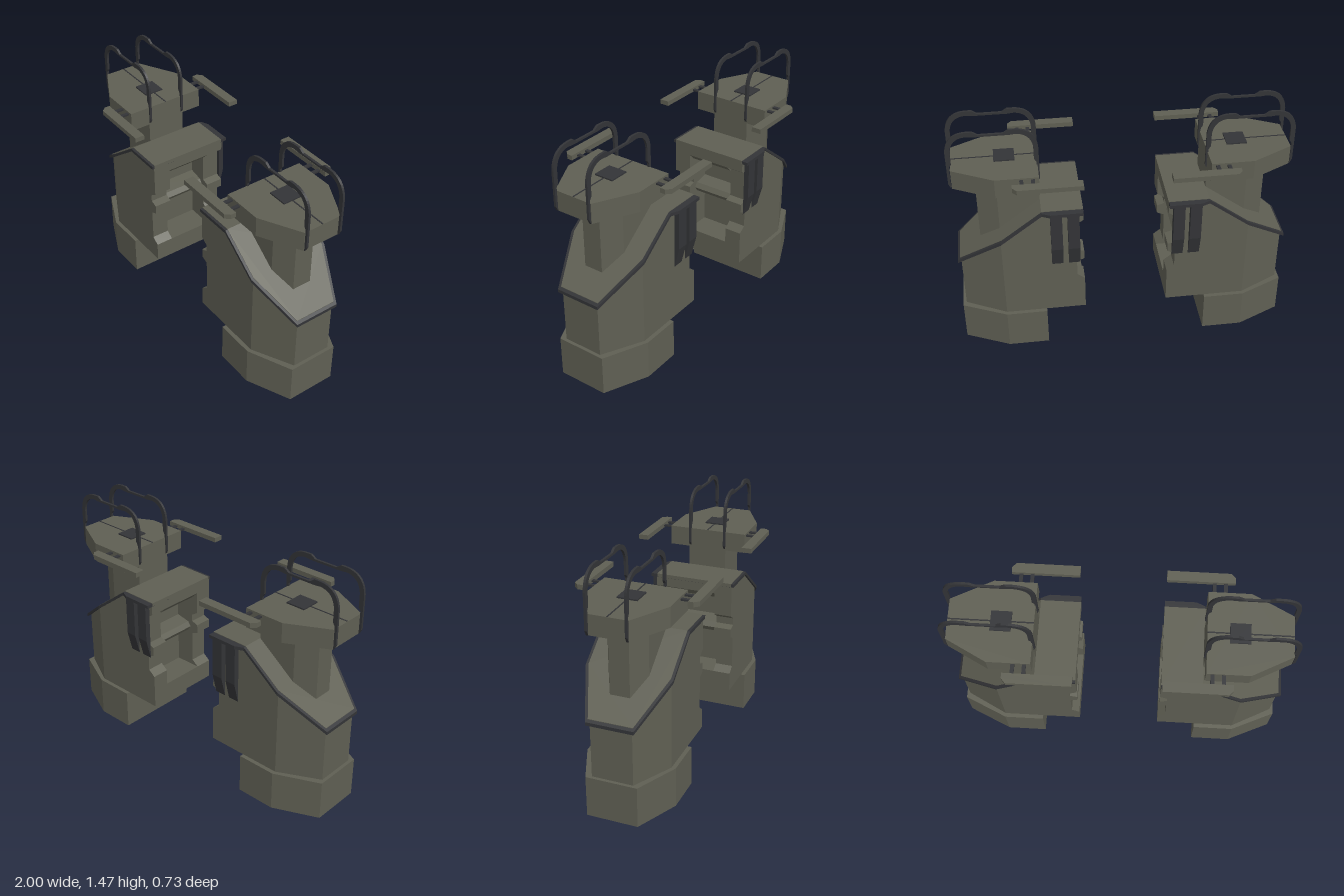
import * as THREE from 'three';

const olive = new THREE.MeshStandardMaterial({ color: 0x5f5f53 });
olive.name = 'olive';
const charcoal = new THREE.MeshStandardMaterial({ color: 0x333437 });
charcoal.name = 'charcoal';

// Height of the shoulder roof: flat on the inside, sloping down outwards
const roofY = (x) => 0.985 - 0.755 * Math.max(0, x - 0.49);

// Upright prism over an (x, z) footprint; bottom and top are heights or functions of x
function prism(points, bottom, top) {
  const shape = new THREE.Shape(points.map(([x, z]) => new THREE.Vector2(x, -z)));
  const geo = new THREE.ExtrudeGeometry(shape, { depth: 1, bevelEnabled: false });
  geo.rotateX(-Math.PI / 2);
  const at = (h, x) => (typeof h === 'function' ? h(x) : h);
  const p = geo.attributes.position;
  for (let i = 0; i < p.count; i++) {
    p.setY(i, at(p.getY(i) < 0.5 ? bottom : top, p.getX(i)));
  }
  geo.computeVertexNormals();
  return geo;
}

// An (x, y) outline extruded from z0 to z1
function slab(points, z0, z1) {
  const shape = points instanceof THREE.Shape ? points
    : new THREE.Shape(points.map(([x, y]) => new THREE.Vector2(x, y)));
  const geo = new THREE.ExtrudeGeometry(shape, { depth: z1 - z0, bevelEnabled: false });
  return geo.translate(0, 0, z0);
}

function box(x0, x1, y0, y1, z0, z1) {
  return new THREE.BoxGeometry(x1 - x0, y1 - y0, z1 - z0)
    .translate((x0 + x1) / 2, (y0 + y1) / 2, (z0 + z1) / 2);
}

// Footprint with a square inner end and a tapered outer end
const footprint = (x0, x1, x2, wide, narrow) => [
  [x0, wide], [x1, wide], [x2, narrow], [x2, -narrow], [x1, -wide], [x0, -wide]];

// Mirror across x = 0, keeping faces turned outwards
function mirrored(source) {
  const geo = source.index ? source.toNonIndexed() : source.clone();
  geo.scale(-1, 1, 1);
  const p = geo.attributes.position;
  const a = new THREE.Vector3(), b = new THREE.Vector3();
  for (let i = 0; i < p.count; i += 3) {
    a.fromBufferAttribute(p, i + 1);
    b.fromBufferAttribute(p, i + 2);
    p.setXYZ(i + 1, b.x, b.y, b.z);
    p.setXYZ(i + 2, a.x, a.y, a.z);
  }
  geo.computeVertexNormals();
  return geo;
}

// Side wall of the inner recess with two chamfered notches
const notchedWall = (low, high) => [
  [0.43, 0.25], [0.25, 0.25], [0.25, low], [0.295, low + 0.035], [0.295, 0.605], [0.25, 0.625],
  [0.25, 0.68], [0.295, 0.695], [0.295, high - 0.03], [0.25, high], [0.25, 0.97], [0.43, 0.97]];

// Rounded arch rail, thin in the middle of its crown
function railShape() {
  const c = 0.74;
  const s = new THREE.Shape();
  s.moveTo(c + 0.245, 1.11);
  s.lineTo(c + 0.26, 1.14);
  s.lineTo(c + 0.26, 1.35);
  s.quadraticCurveTo(c + 0.25, 1.465, c + 0.14, 1.472);
  s.lineTo(c + 0.1, 1.472);
  s.lineTo(c + 0.07, 1.452);
  s.lineTo(c - 0.07, 1.452);
  s.lineTo(c - 0.1, 1.472);
  s.lineTo(c - 0.14, 1.472);
  s.quadraticCurveTo(c - 0.25, 1.465, c - 0.26, 1.35);
  s.lineTo(c - 0.26, 1.14);
  s.lineTo(c - 0.245, 1.11);
  s.lineTo(c - 0.245, 1.25);
  s.lineTo(c - 0.232, 1.27);
  s.lineTo(c - 0.232, 1.35);
  s.quadraticCurveTo(c - 0.222, 1.438, c - 0.14, 1.444);
  s.lineTo(c - 0.1, 1.44);
  s.lineTo(c + 0.1, 1.44);
  s.lineTo(c + 0.14, 1.444);
  s.quadraticCurveTo(c + 0.222, 1.438, c + 0.232, 1.35);
  s.lineTo(c + 0.232, 1.27);
  s.lineTo(c + 0.245, 1.25);
  return s;
}

// All parts of the tower on the +x side: [name, geometry, material]
function towerParts() {
  const parts = [];
  const add = (name, geo, mat = olive) => parts.push([name, geo, mat]);

  // Base and main body
  add('base', prism(footprint(0.49, 0.735, 1.0, 0.275, 0.155), 0, 0.25));
  add('body', prism(footprint(0.49, 0.735, 0.98, 0.25, 0.125), 0.25, (x) => roofY(x) - 0.018));
  add('bodyCore', box(0.42, 0.49, 0.25, 0.97, -0.25, 0.25));

  // Recessed inner face: notched walls, sill, lintel and middle shelf
  add('frontWall', slab(notchedWall(0.37, 0.77), 0.14, 0.25));
  add('backWall', slab(notchedWall(0.47, 0.91), -0.25, -0.14));
  add('sill', slab([[0.43, 0.25], [0.25, 0.25], [0.25, 0.37], [0.43, 0.37]], -0.14, 0.14));
  add('lintel', slab([[0.43, 0.87], [0.29, 0.87], [0.25, 0.91], [0.25, 0.97], [0.43, 0.97]], -0.14, 0.14));
  add('shelf', slab([[0.43, 0.60], [0.33, 0.62], [0.31, 0.65], [0.33, 0.68], [0.43, 0.70]], -0.14, 0.14));

  // Shoulder roof: dark rim with an inset panel on top
  const roofRim = (x) => roofY(x) - 0.02;
  const raised = (x) => roofY(x) + 0.003;
  add('roofRimSlope', prism(footprint(0.49, 0.735, 1.0, 0.262, 0.142), roofRim, roofY), charcoal);
  add('roofRimFlat', box(0.25, 0.49, 0.965, 0.985, -0.262, 0.262), charcoal);
  add('roofPanelSlope', prism(footprint(0.49, 0.73, 0.985, 0.246, 0.132), roofY, raised));
  add('roofPanelFlat', box(0.249, 0.49, 0.966, 0.988, -0.246, 0.246));

  // Back claws hanging from a small eave
  add('clawEave', prism([[0.25, -0.25], [0.25, -0.285], [0.44, -0.285], [0.49, -0.262], [0.49, -0.25]],
    0.965, 0.985), charcoal);
  for (const x of [0.275, 0.375]) {
    const claw = slab([[0.25, 0.97], [0.283, 0.97], [0.283, 0.73], [0.25, 0.6]], 0, 0.068);
    // outline is drawn in (-z, y); turn it to face backwards
    claw.rotateY(Math.PI / 2).translate(x, 0, 0);
    add('claw', claw, charcoal);
  }

  // Neck and head
  add('neck', prism(footprint(0.49, 0.735, 0.855, 0.122, 0.06), (x) => roofY(x) - 0.01, 1.12));
  add('head', prism(footprint(0.49, 0.74, 0.982, 0.248, 0.122), 1.11, 1.23));
  add('headSeam', box(0.49, 0.98, 1.229, 1.232, -0.004, 0.004), charcoal);
  add('hatch', box(0.617, 0.737, 1.229, 1.238, -0.06, 0.06), charcoal);

  // Arch rails, side planks and their brackets
  for (const s of [1, -1]) {
    add('rail', slab(railShape(), s * 0.114 - 0.007, s * 0.114 + 0.007), charcoal);
    add('plank', prism([[0.25, s * 0.307], [0.645, s * 0.307], [0.645, s * 0.34],
      [0.62, s * 0.367], [0.25, s * 0.367]], 1.203, 1.232));
    for (const x of [0.525, 0.59]) {
      const z = s * 0.278;
      add('bracket', box(x - 0.011, x + 0.011, 1.21, 1.22, z - 0.035, z + 0.035), charcoal);
    }
  }
  return parts;
}

export function createModel() {
  const model = new THREE.Group();
  model.name = 'twinTowers';
  const left = new THREE.Group();
  left.name = 'leftTower';
  const right = new THREE.Group();
  right.name = 'rightTower';
  for (const [name, geo, mat] of towerParts()) {
    const a = new THREE.Mesh(geo, mat);
    const b = new THREE.Mesh(mirrored(geo), mat);
    a.name = b.name = name;
    left.add(a);
    right.add(b);
  }
  model.add(left, right);
  return model;
}
